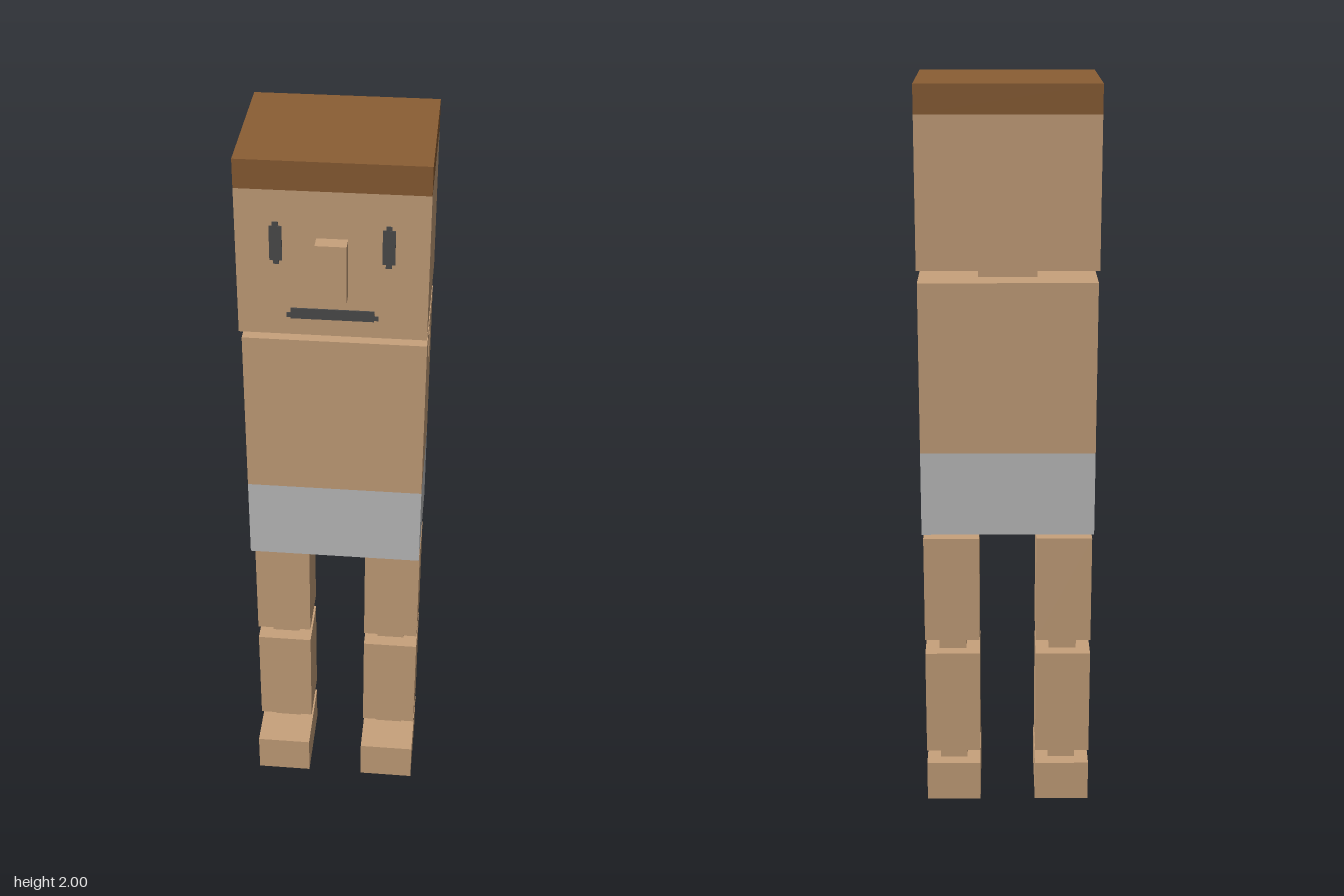
import * as THREE from 'three';

export function createModel() {
  const model = new THREE.Group();
  const mat = (name, color) => {
    const m = new THREE.MeshStandardMaterial({ color });
    m.name = name;
    return m;
  };
  const skin = mat('skin', 0xc8a27c);
  const hairBrown = mat('hair brown', 0x8b5e34);
  const shortsGrey = mat('shorts grey', 0xc0c0c0);
  const faceDark = mat('face dark grey', 0x4d4d4d);

  const add = (name, geometry, material, parent = model) => {
    const mesh = new THREE.Mesh(geometry, material);
    mesh.name = name;
    parent.add(mesh);
    return mesh;
  };
  // Box given by its lower and upper limits on each axis
  const block = (name, material, [x0, x1], [y0, y1], [z0, z1], parent) => {
    const g = new THREE.BoxGeometry(x1 - x0, y1 - y0, z1 - z0);
    g.translate((x0 + x1) / 2, (y0 + y1) / 2, (z0 + z1) / 2);
    return add(name, g, material, parent);
  };

  const W = 0.227;
  const limbZ = [-0.092, 0.057];
  const jointZ = [-0.055, 0.02];
  const torsoZ = [-0.167, 0.132];
  const headZ = [-0.208, 0.169];

  // Head
  const head = new THREE.Group();
  head.name = 'head';
  model.add(head);
  block('skull', skin, [-W, W], [1.55, 1.928], headZ, head);
  block('hair', hairBrown, [-W, W], [1.928, 2], headZ, head);
  block('nose', skin, [-0.037, 0.037], [1.66, 1.81], [0.169, 0.207], head);

  // Thin face plates with stepped ends
  for (const s of [-1, 1]) {
    const c = s * 0.132;
    block('eye', faceDark, [c - 0.015, c + 0.015], [1.75, 1.838], [0.168, 0.172], head);
    block('eyeTip', faceDark, [c - 0.007, c + 0.007], [1.74, 1.848], [0.168, 0.1715], head);
  }
  block('mouth', faceDark, [-0.1, 0.1], [1.595, 1.623], [0.168, 0.172], head);
  block('mouthEnds', faceDark, [-0.11, 0.11], [1.598, 1.61], [0.168, 0.1715], head);

  block('neck', skin, [-0.075, 0.075], [1.51, 1.55], limbZ);

  // Chest with a square shoulder socket running through from side to side
  const rect = (Type, [a0, a1], [b0, b1]) => new Type([
    new THREE.Vector2(a0, b0), new THREE.Vector2(a1, b0),
    new THREE.Vector2(a1, b1), new THREE.Vector2(a0, b1),
  ]);
  const side = rect(THREE.Shape, [-torsoZ[1], -torsoZ[0]], [1.062, 1.51]);
  side.holes.push(rect(THREE.Path, [-jointZ[1], -jointZ[0]], [1.4, 1.475]));
  const chest = new THREE.ExtrudeGeometry(side, { depth: 2 * W, bevelEnabled: false });
  chest.translate(0, 0, -W);
  chest.rotateY(Math.PI / 2);
  add('chest', chest, skin);

  // Shorts with a skin strip underneath where the legs attach
  block('shorts', shortsGrey, [-W, W], [0.837, 1.062], torsoZ);
  block('hipStrip', skin, [-W + 0.002, W - 0.002], [0.835, 0.839], limbZ);

  // Legs
  for (const s of [-1, 1]) {
    const leg = new THREE.Group();
    leg.name = s > 0 ? 'leftLeg' : 'rightLeg';
    model.add(leg);
    const span = (a, b) => (s > 0 ? [a, b] : [-b, -a]);
    const wide = span(0.077, W);
    const narrow = span(0.114, 0.189);
    block('hip', skin, narrow, [0.795, 0.837], jointZ, leg);
    block('thigh', skin, wide, [0.496, 0.795], limbZ, leg);
    block('knee', skin, narrow, [0.455, 0.496], jointZ, leg);
    block('shin', skin, wide, [0.155, 0.455], limbZ, leg);
    block('ankle', skin, narrow, [0.114, 0.155], jointZ, leg);
    block('foot', skin, wide, [0, 0.114], [limbZ[0], torsoZ[1]], leg);
  }
  return model;
}
